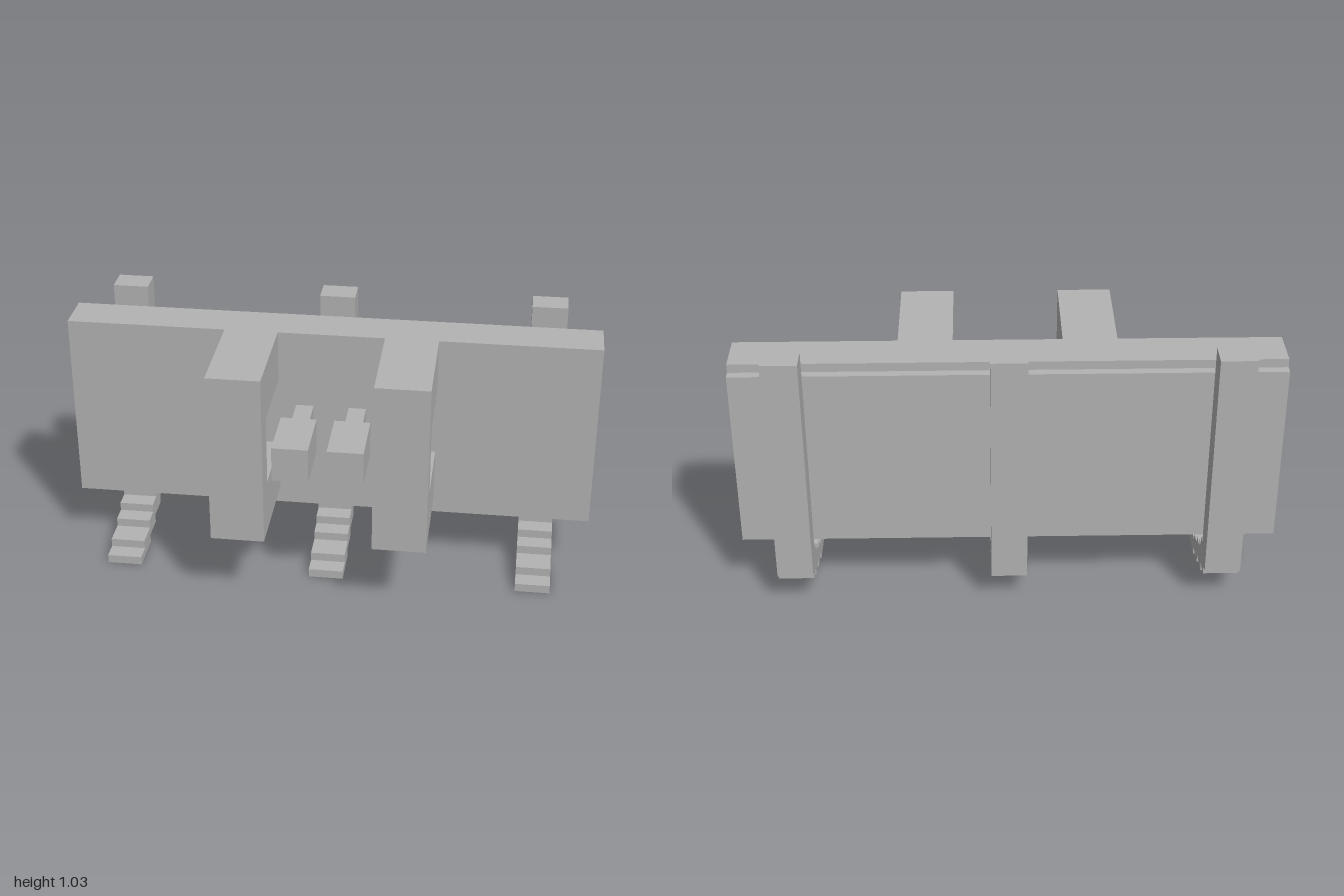
import * as THREE from 'three';

const U = 1 / 30; // one grid step of the blocky design

// Extrude a side profile, given as [z, y] in grid steps, across x
function profileMesh(name, points, width, x, material) {
  const shape = new THREE.Shape(points.map(([z, y]) => new THREE.Vector2(z * U, y * U)));
  const geometry = new THREE.ExtrudeGeometry(shape, { depth: width * U, bevelEnabled: false });
  geometry.translate(0, 0, -width * U / 2);
  geometry.rotateY(-Math.PI / 2);
  const mesh = new THREE.Mesh(geometry, material);
  mesh.name = name;
  mesh.position.x = x * U;
  return mesh;
}

// Box from its size and centre in grid steps
function boxMesh(name, size, centre, material) {
  const mesh = new THREE.Mesh(new THREE.BoxGeometry(...size.map((s) => s * U)), material);
  mesh.name = name;
  mesh.position.set(...centre.map((c) => c * U));
  return mesh;
}

export function createModel() {
  const model = new THREE.Group();
  model.name = 'steppedStand';
  const grey = new THREE.MeshStandardMaterial({ color: 0xb3b3b3 });
  grey.name = 'grey';

  // Wide panel with a small rebate along its top back edge
  model.add(profileMesh('panel', [
    [-1.5, 7], [-1.5, 29], [-6.5, 29], [-6.5, 28], [-7.5, 28], [-7.5, 7],
  ], 60, 0, grey));

  // Back posts, each curving forward into a stepped foot
  const post = [
    [3.5, 0], [3.5, 1], [1.5, 1], [1.5, 2], [-1.5, 2], [-1.5, 3], [-3.5, 3], [-3.5, 4],
    [-5.5, 4], [-5.5, 5], [-6.5, 5], [-6.5, 6], [-7.5, 6], [-7.5, 31], [-10.5, 31],
    [-10.5, 4], [-9.5, 4], [-9.5, 3], [-7.5, 3], [-7.5, 2], [-4.5, 2], [-4.5, 1],
    [-1.5, 1], [-1.5, 0],
  ];
  for (const [name, x] of [['rightPost', -24], ['middlePost', 0], ['leftPost', 24]]) {
    model.add(profileMesh(name, post, 4, x, grey));
  }

  // Mirrored C-shaped brackets and the handles between them
  const bracket = [
    [-1.5, 9], [10.5, 9], [10.5, 29], [-1.5, 29], [-1.5, 23], [7.5, 23], [7.5, 15], [-1.5, 15],
  ];
  for (const [side, s] of [['left', 1], ['right', -1]]) {
    model.add(profileMesh(side + 'Bracket', bracket, 6, s * 9, grey));
    model.add(boxMesh(side + 'HandleArm', [2, 2, 5], [s * 3, 19, 1], grey));
    model.add(boxMesh(side + 'HandleGrip', [4, 4, 7], [s * 3, 19, 7], grey));
  }
  return model;
}
